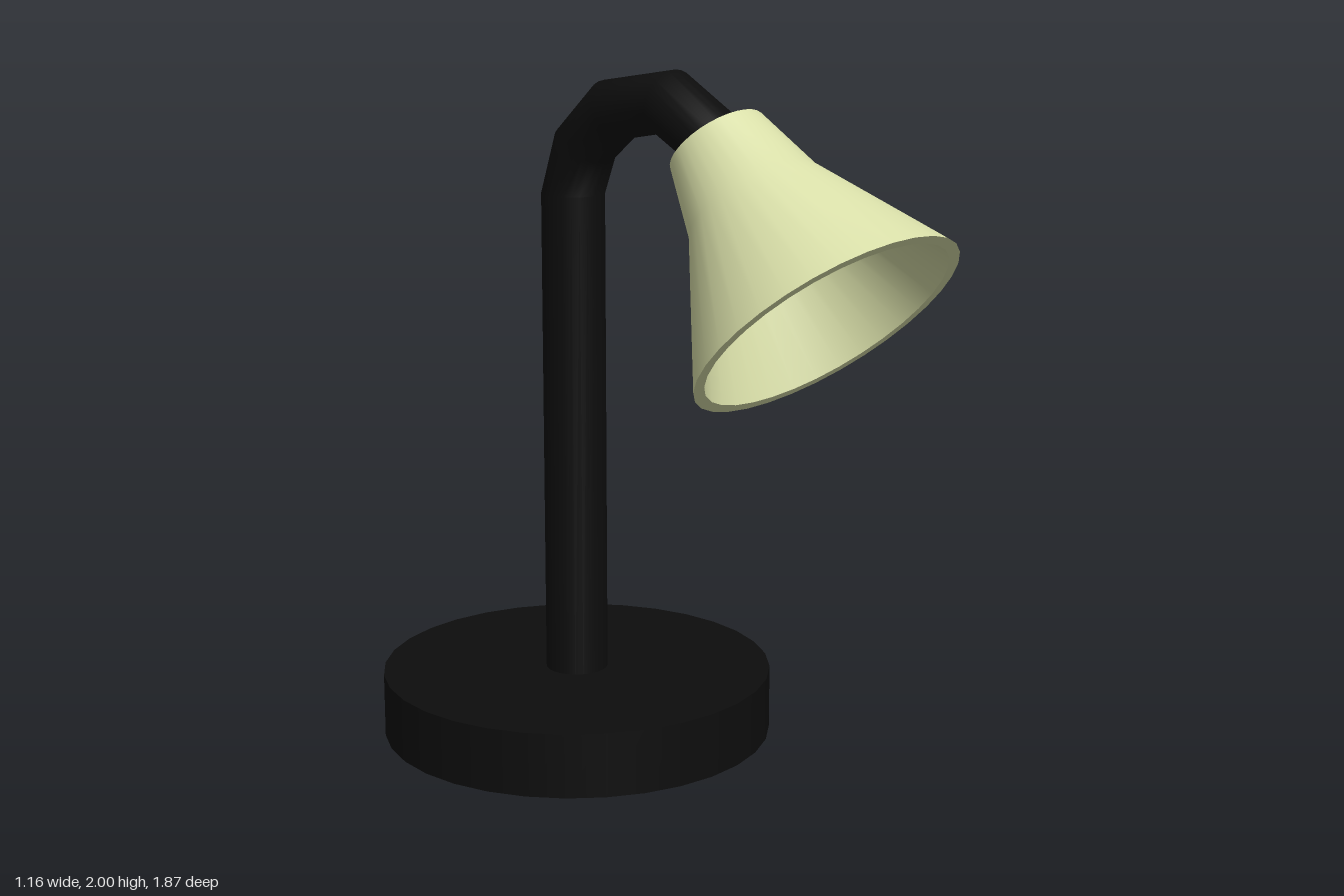
import * as THREE from 'three';

const BLACK = new THREE.MeshStandardMaterial({ color: 0x0d0d0d });
const CREAM = new THREE.MeshStandardMaterial({ color: 0xd8dea8 });
const GREY = new THREE.MeshStandardMaterial({ color: 0xcccccc });

const STEM_Z = -0.355;
const SHADE_TILT = -0.749;

function addMesh(parent, name, geometry, material) {
  const mesh = new THREE.Mesh(geometry, material);
  mesh.name = name;
  parent.add(mesh);
  return mesh;
}

// Round tube through [z, y] points, one ring per point, square to the given tilt
function bentTube(points, radius, sides) {
  const positions = [];
  const index = [];
  points.forEach(([z, y, tilt], i) => {
    for (let j = 0; j < sides; j++) {
      const a = (j / sides) * Math.PI * 2;
      const n = Math.sin(a) * radius;
      positions.push(Math.cos(a) * radius, y - n * Math.sin(tilt), z + n * Math.cos(tilt));
      if (i === 0) continue;
      const k = (j + 1) % sides;
      const lower = (i - 1) * sides;
      const upper = i * sides;
      index.push(lower + j, upper + j, lower + k, lower + k, upper + j, upper + k);
    }
  });
  const geometry = new THREE.BufferGeometry();
  geometry.setAttribute('position', new THREE.Float32BufferAttribute(positions, 3));
  geometry.setIndex(index);
  geometry.computeVertexNormals();
  return geometry;
}

export function createModel() {
  const lamp = new THREE.Group();
  lamp.name = 'deskLamp';

  // Round foot
  const base = addMesh(lamp, 'base', new THREE.CylinderGeometry(0.58, 0.58, 0.19, 32), BLACK);
  base.position.set(0, 0.095, STEM_Z);

  // Upright stem bending forward into the shade: z, y, forward lean of each ring
  const path = [
    [STEM_Z, 0.1, 0],
    [STEM_Z, 1.62, 0],
    [-0.3, 1.765, 0.52],
    [-0.17, 1.875, 1.01],
    [0.043, 1.912, 1.83],
    [0.235, 1.812, Math.PI + SHADE_TILT],
  ];
  addMesh(lamp, 'gooseneckStem', bentTube(path, 0.092, 24), BLACK);

  // Shade, built upright from its mouth and then tilted forward
  const shade = new THREE.Group();
  shade.name = 'shade';
  shade.position.set(0, 1.375, 0.64);
  shade.rotation.x = SHADE_TILT;
  lamp.add(shade);

  // Separate profiles keep the rim and cap edges sharp
  const profiles = {
    shadeOuter: [[0.396, 0], [0.196, 0.398], [0.143, 0.604]],
    shadeCap: [[0.143, 0.604], [0, 0.604]],
    shadeInnerCap: [[0, 0.575], [0.118, 0.575]],
    shadeInner: [[0.118, 0.575], [0.168, 0.39], [0.364, 0]],
    shadeRim: [[0.364, 0], [0.396, 0]],
  };
  for (const [name, profile] of Object.entries(profiles)) {
    const points = profile.map(([r, y]) => new THREE.Vector2(r, y));
    addMesh(shade, name, new THREE.LatheGeometry(points, 32), CREAM);
  }

  // Bulb and its neck inside the shade
  const bulb = addMesh(shade, 'bulb', new THREE.SphereGeometry(0.14, 24, 16), GREY);
  bulb.position.y = 0.375;
  const neck = addMesh(shade, 'bulbNeck', new THREE.CylinderGeometry(0.07, 0.07, 0.12, 20), GREY);
  neck.position.y = 0.52;

  return lamp;
}
